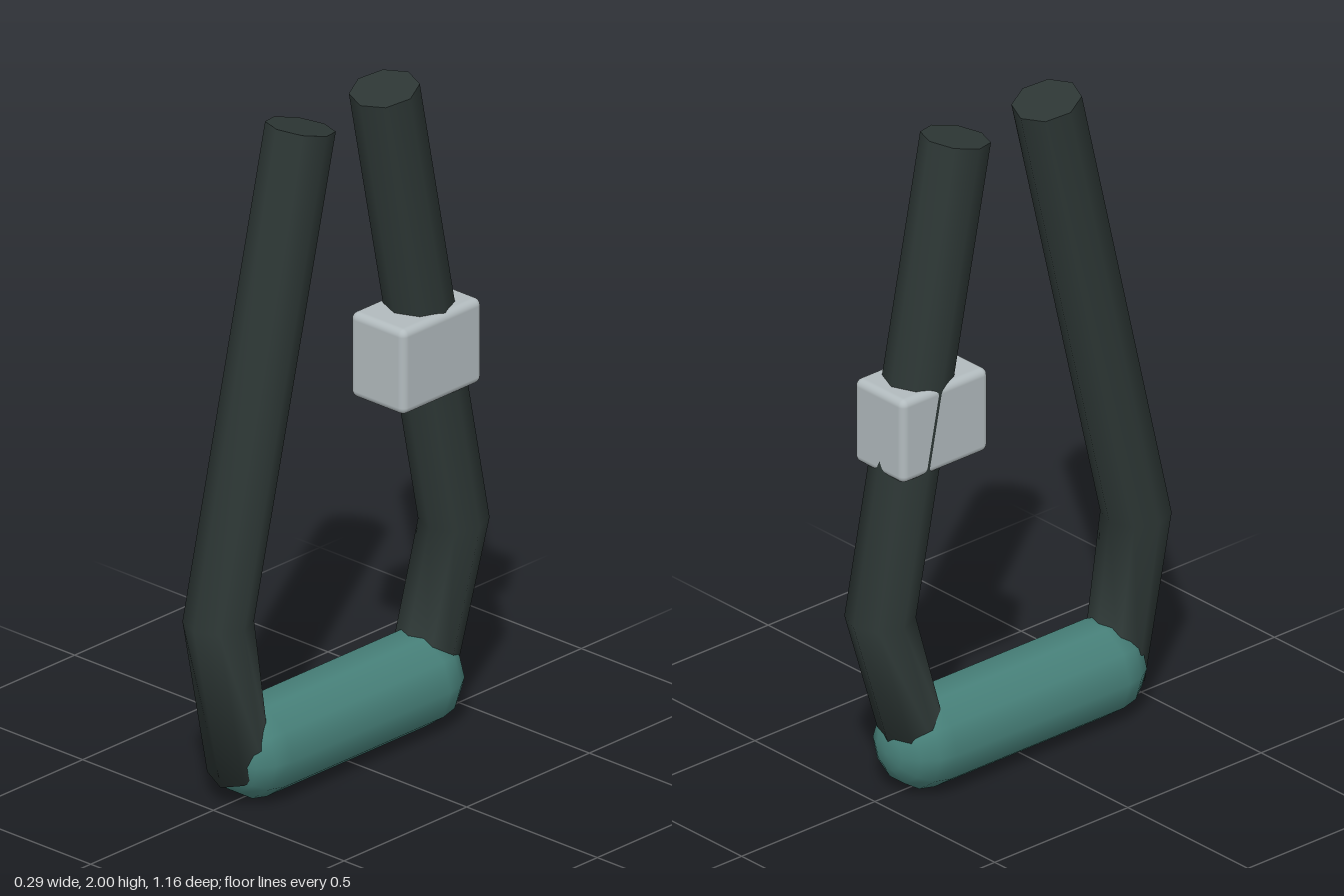
import * as THREE from 'three';
import { RoundedBoxGeometry } from 'three/addons/geometries/RoundedBoxGeometry.js';

const SIDES = 8;

// Eight-sided tube in the x = 0 plane; each station is [z, y, tangent z, tangent y]
function strapGeometry(stations, radius) {
  const pos = [], index = [];
  const addRing = ([z, y, tz, ty]) => {
    const start = pos.length / 3, l = Math.hypot(tz, ty);
    for (let j = 0; j < SIDES; j++) {
      const a = (j / SIDES) * Math.PI * 2;
      const c = Math.cos(a) * radius, s = Math.sin(a) * radius;
      pos.push(c, y + (s * tz) / l, z - (s * ty) / l);
    }
    return start;
  };
  // Wall
  const rings = stations.map(addRing);
  for (let i = 0; i < rings.length - 1; i++) {
    for (let j = 0; j < SIDES; j++) {
      const k = (j + 1) % SIDES;
      const a = rings[i] + j, b = rings[i] + k, c = rings[i + 1] + j, d = rings[i + 1] + k;
      index.push(a, b, c, b, d, c);
    }
  }
  // Flat end caps with their own corners, so the rim stays sharp
  const first = addRing(stations[0]), last = addRing(stations[stations.length - 1]);
  for (let j = 1; j < SIDES - 1; j++) {
    index.push(first, first + j + 1, first + j);
    index.push(last, last + j, last + j + 1);
  }
  const geo = new THREE.BufferGeometry();
  geo.setAttribute('position', new THREE.Float32BufferAttribute(pos, 3));
  geo.setIndex(index);
  geo.computeVertexNormals();
  return geo;
}

export function createModel() {
  const group = new THREE.Group();
  const material = (name, color) => {
    const m = new THREE.MeshStandardMaterial({ color });
    m.name = name;
    return m;
  };
  const webbing = material('dark webbing', 0x2d3735);
  const grip = material('teal grip', 0x478079);
  const plastic = material('light grey plastic', 0xb2bbbe);

  const add = (name, geometry, mat, x = 0, y = 0, z = 0) => {
    const mesh = new THREE.Mesh(geometry, mat);
    mesh.name = name;
    mesh.position.set(x, y, z);
    group.add(mesh);
    return mesh;
  };

  // Strap: down the front, through the grip and up the back
  add('strap', strapGeometry([
    [0.145, 1.977, 0.335, -1.4],
    [0.48, 0.573, 0, -1],
    [0.4, 0.13, -1, -1],
    [-0.345, 0.13, -1, 1],
    [-0.48, 0.573, 0, 1],
    [-0.197, 1.98, 0.283, 1.405],
  ], 0.1), webbing);

  // Rounded grip lying front to back
  const gripGeo = new THREE.CapsuleGeometry(0.143, 0.645, 4, 10);
  gripGeo.rotateX(Math.PI / 2);
  add('handleGrip', gripGeo, grip, 0, 0.136, 0.007);

  // Buckle on the rear strap
  add('buckle', new RoundedBoxGeometry(0.208, 0.26, 0.325, 3, 0.022), plastic, 0.006, 1.15, -0.32);

  return group;
}
